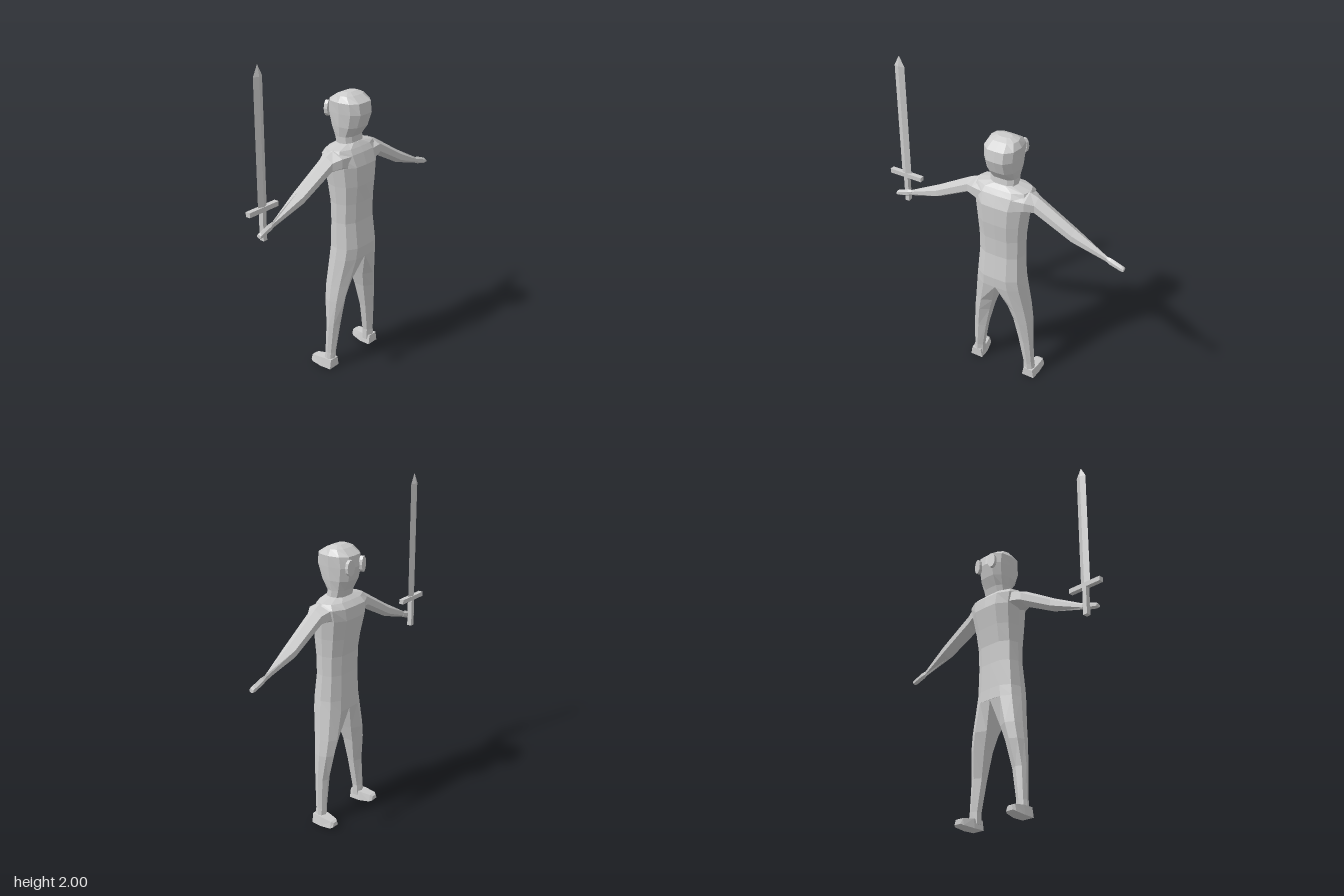
import * as THREE from 'three';

const CZ = -0.023; // centre plane of the body; the figure looks towards -x
const material = new THREE.MeshStandardMaterial({ color: 0xcccccc, flatShading: true });

// Closed, faceted skin through rings of [x, y, z] points, capped at both ends
function loft(name, rings) {
  const n = rings[0].length, tris = [];
  for (let i = 0; i < rings.length - 1; i++) {
    for (let j = 0; j < n; j++) {
      const k = (j + 1) % n;
      const a = rings[i][j], b = rings[i][k], c = rings[i + 1][k], d = rings[i + 1][j];
      tris.push([a, b, c], [a, c, d]);
    }
  }
  const last = rings[rings.length - 1];
  for (let j = 1; j < n - 1; j++) {
    tris.push([rings[0][0], rings[0][j + 1], rings[0][j]], [last[0], last[j], last[j + 1]]);
  }
  // Turn the faces outwards whatever the ring direction (mirrored parts too)
  let volume = 0;
  for (const [a, b, c] of tris) {
    volume += a[0] * (b[1] * c[2] - b[2] * c[1]) + a[1] * (b[2] * c[0] - b[0] * c[2]) + a[2] * (b[0] * c[1] - b[1] * c[0]);
  }
  if (volume < 0) tris.forEach((t) => t.reverse());
  const geometry = new THREE.BufferGeometry();
  geometry.setAttribute('position', new THREE.Float32BufferAttribute(tris.flat(2), 3));
  geometry.computeVertexNormals();
  return named(name, geometry);
}

function named(name, geometry) {
  const mesh = new THREE.Mesh(geometry, material);
  mesh.name = name;
  return mesh;
}

// Rounded horizontal body section: [height, front x, back x, half width]
const BODY = [[0, 1], [0.5, 0.97], [0.88, 0.62], [1, 0], [0.88, -0.62], [0.5, -0.97],
  [0, -1], [-0.5, -0.97], [-0.88, -0.62], [-1, 0], [-0.88, 0.62], [-0.5, 0.97]];
const bodyRing = ([y, x0, x1, w]) =>
  BODY.map(([u, v]) => [(x0 + x1) / 2 + v * (x1 - x0) / 2, y, CZ + u * w]);

// Leg section: [height, front x, back x, inner z, outer z, inner flatness]
const legRing = (side) => ([y, x0, x1, z0, z1, k]) =>
  [[0, k], [0.5, 0.97], [0.88, 0.62], [1, 0], [0.88, -0.62], [0.5, -0.97], [0, -k], [0, 0]].map(([u, v]) =>
    [(x0 + x1) / 2 + v * (x1 - x0) / 2, y, CZ + side * (z0 + u * (z1 - z0))]);

// Arm section, six sided: [distance out, low y, high y, front x, back x]
const armRing = (side) => ([s, y0, y1, x0, x1]) =>
  [[0, 1], [1, 0.45], [1, -0.45], [0, -1], [-1, -0.45], [-1, 0.45]].map(([u, v]) =>
    [(x0 + x1) / 2 + u * (x1 - x0) / 2, (y0 + y1) / 2 + v * (y1 - y0) / 2, CZ + side * s]);

// Four-cornered upright section across the foot: [x, low y, high y, inner z, outer z]
const footRing = (side) => ([x, y0, y1, z0, z1]) =>
  [[y0, z0], [y0, z1], [y1, z1 - 0.01], [y1, z0 + 0.01]].map(([y, z]) => [x, y, CZ + side * z]);

function createLimbs(side, label) {
  const leg = loft(label + 'Leg', [
    [0.72, -0.075, 0.12, 0, 0.162, 0.97],
    [0.55, -0.075, 0.09, 0.055, 0.184, 0.6],
    [0.45, -0.065, 0.075, 0.085, 0.197, 0.5],
    [0.29, -0.036, 0.052, 0.12, 0.208, 0.5],
    [0.1, -0.035, 0.036, 0.152, 0.215, 0.5],
    [0.03, -0.035, 0.034, 0.152, 0.225, 0.5],
  ].map(legRing(side)));
  const foot = loft(label + 'Foot', [
    [0.035, 0, 0.06, 0.15, 0.232],
    [-0.035, 0, 0.058, 0.15, 0.238],
    [-0.105, 0.008, 0.05, 0.165, 0.236],
    [-0.12, 0.015, 0.042, 0.175, 0.226],
  ].map(footRing(side)));
  const arm = loft(label + 'Arm', [
    [0.1, 1.25, 1.41, -0.08, 0.095],
    [0.17, 1.28, 1.4, -0.06, 0.085],
    [0.22, 1.275, 1.378, -0.042, 0.055],
    [0.45, 1.155, 1.24, -0.04, 0.04],
    [0.66, 1.09, 1.128, -0.006, 0.006],
  ].map(armRing(side)));
  const hand = loft(label + 'Hand', [
    [0.655, 1.092, 1.13, -0.008, 0.008],
    [0.68, 1.08, 1.127, -0.015, 0.015],
    [0.75, 1.062, 1.1, -0.015, 0.015],
    [0.763, 1.066, 1.09, -0.014, 0.014],
  ].map(armRing(side)));
  // Flat oval eye on the face
  const eye = named(label + 'Eye', new THREE.CylinderGeometry(0.5, 0.5, 1, 10));
  eye.scale.set(0.05, 0.022, 0.095);
  eye.rotation.set(0, side * 0.2, Math.PI / 2);
  eye.scale.set(0.095, 0.022, 0.055);
  eye.position.set(-0.117, 1.605, CZ + side * 0.057);
  return [leg, foot, arm, hand, eye];
}

function createSword() {
  const sword = new THREE.Group();
  sword.name = 'sword';
  const bladeRing = ([y, w, t]) => [[t, y, 0], [0, y, w], [-t, y, 0], [0, y, -w]];
  sword.add(loft('blade', [[1.2, 0.033, 0.013], [1.94, 0.033, 0.013], [2, 0.002, 0.001]].map(bladeRing)));
  const guard = named('guard', new THREE.BoxGeometry(0.03, 0.028, 0.22));
  guard.position.y = 1.213;
  const grip = named('grip', new THREE.BoxGeometry(0.03, 0.18, 0.027));
  grip.position.y = 1.12;
  sword.add(guard, grip);
  sword.position.set(-0.027, 0, 0.68);
  return sword;
}

export function createModel() {
  const model = new THREE.Group();
  model.name = 'swordFighter';
  model.add(loft('torso', [
    [0.72, -0.075, 0.12, 0.162],
    [0.79, -0.072, 0.125, 0.152],
    [0.95, -0.07, 0.106, 0.143],
    [1.07, -0.075, 0.11, 0.144],
    [1.18, -0.095, 0.122, 0.152],
    [1.3, -0.12, 0.125, 0.168],
    [1.37, -0.115, 0.1, 0.185],
    [1.4, -0.085, 0.08, 0.17],
    [1.425, -0.05, 0.06, 0.07],
  ].map(bodyRing)));
  model.add(loft('head', [
    [1.39, -0.05, 0.06, 0.085],
    [1.46, -0.07, 0.052, 0.086],
    [1.52, -0.1, 0.095, 0.096],
    [1.6, -0.12, 0.122, 0.102],
    [1.665, -0.11, 0.112, 0.106],
    [1.7, -0.06, 0.06, 0.085],
    [1.715, -0.025, 0.025, 0.045],
  ].map(bodyRing)));
  model.add(...createLimbs(1, 'right'), ...createLimbs(-1, 'left'));
  model.add(createSword());
  return model;
}
